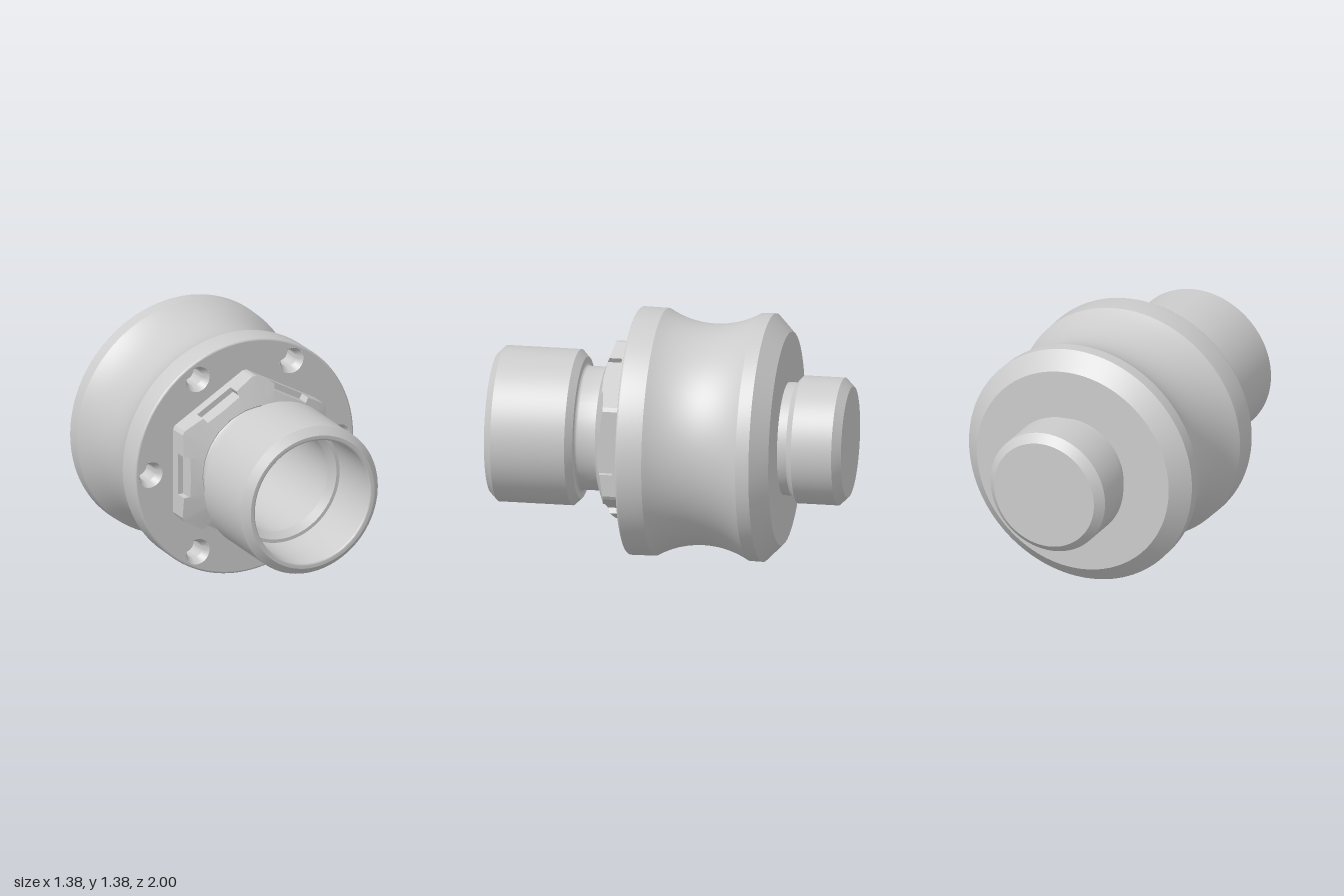
import * as THREE from 'three';
import { toCreasedNormals } from 'three/addons/utils/BufferGeometryUtils.js';

const SEG = 96;
const FACE_Z = 0.21; // front face of the grooved body
const material = new THREE.MeshStandardMaterial({ color: 0xcccccc });

// Named mesh with sharp edges kept
function part(name, geometry) {
  const mesh = new THREE.Mesh(toCreasedNormals(geometry, 0.4), material);
  mesh.name = name;
  return mesh;
}

// Turned part around the z axis, from [radius, z] pairs running back to front
function turned(name, profile, segments = SEG) {
  const points = profile.map(([r, z]) => new THREE.Vector2(r, z));
  return part(name, new THREE.LatheGeometry(points, segments).rotateX(Math.PI / 2));
}

// Points of an arc in the [radius, z] plane
function arc(r, z, radius, from, to, steps) {
  return Array.from({ length: steps + 1 }, (_, i) => {
    const a = from + ((to - from) * i) / steps;
    return [r + radius * Math.cos(a), z + radius * Math.sin(a)];
  });
}

// Hexagonal collar: coned front, with an open pocket cut in each flat
function hexCollar() {
  const flat = 0.453, pocket = 0.42, half = 0.122, corner = 0.516;
  const cone = (r) => 0.38 - (r - 0.36) * 0.38;
  // columns across one flat: [distance along the flat, distance from axis]
  const columns = [
    [-0.2615, flat], [-0.247, flat], [-half, flat], [-half, pocket], [0, pocket],
    [half, pocket], [half, flat], [0.247, flat],
  ];
  const rings = [];
  for (let k = 0; k < 6; k++) {
    const turn = (k * Math.PI) / 3;
    for (const [t, n] of columns) {
      const at = (dist, z, limit) => {
        const r = Math.min(Math.hypot(dist, t), limit);
        const a = turn + Math.atan2(t, dist);
        return [r * Math.cos(a), r * Math.sin(a), z];
      };
      const r = Math.min(Math.hypot(n, t), corner);
      rings.push([
        at(flat, FACE_Z, corner), at(flat, 0.267, corner),
        at(n, 0.267, corner), at(n, cone(r), corner),
        at(Math.abs(t) === half ? pocket : n, 0.38, 0.36),
        at(Math.abs(t) === half ? pocket : n, 0.365, 0.34),
      ]);
    }
  }
  const positions = [];
  rings.forEach((a, i) => {
    const b = rings[(i + 1) % rings.length];
    for (let j = 0; j < a.length - 1; j++) {
      positions.push(...a[j], ...b[j], ...b[j + 1], ...a[j], ...b[j + 1], ...a[j + 1]);
    }
  });
  const geometry = new THREE.BufferGeometry();
  geometry.setAttribute('position', new THREE.Float32BufferAttribute(positions, 3));
  return part('hexCollar', geometry);
}

export function createModel() {
  const group = new THREE.Group();
  group.name = 'grooveRollerFitting';
  const axis = new THREE.Group();
  axis.name = 'turnedAssembly';
  axis.position.y = 0.693;
  group.add(axis);

  // Rear plug with undercut neck
  axis.add(turned('rearPlug', [
    [0, -1], [0.31, -1], [0.356, -0.953], [0.356, -0.725],
    [0.315, -0.69], [0.315, -0.63],
  ].map(([r, z]) => [r, z])));

  // Grooved body: rear chamfer, concave waist, softened front rim
  const sweep = Math.asin(0.265 / 0.5175);
  axis.add(turned('groovedBody', [
    [0.3, -0.64], [0.595, -0.64], [0.692, -0.545],
    ...arc(0.617 + 0.5175, -0.205, 0.5175, Math.PI + sweep, Math.PI - sweep, 24),
    ...arc(0.68, 0.198, 0.012, 0, Math.PI / 2, 5),
  ], 128));

  // Front face with six countersunk holes
  const face = new THREE.Shape().absarc(0, 0, 0.68, 0, Math.PI * 2);
  face.holes.push(new THREE.Path().absarc(0, 0, 0.34, 0, Math.PI * 2, true));
  for (let i = 0; i < 6; i++) {
    const a = (i * Math.PI) / 3;
    const x = 0.595 * Math.cos(a), y = 0.595 * Math.sin(a);
    face.holes.push(new THREE.Path().absarc(x, y, 0.075, 0, Math.PI * 2, true));
    const hole = turned('boltHole', [
      [0.075, FACE_Z], [0.05, 0.17], [0.05, 0.07], [0, 0.07],
    ], 32);
    hole.position.set(x, y, 0);
    axis.add(hole);
  }
  const frontFace = part('frontFace', new THREE.ShapeGeometry(face, 64));
  frontFace.position.z = FACE_Z;
  axis.add(frontFace);

  axis.add(hexCollar());

  // Front socket: filleted neck, chamfered barrel, rounded lip, stepped bore
  axis.add(turned('frontSocket', [
    [0.36, 0.365],
    ...arc(0.365, 0.39, 0.02, Math.PI * 1.4, Math.PI, 5),
    ...arc(0.365, 0.481, 0.02, Math.PI, Math.PI / 2, 5),
    [0.395, 0.501], [0.435, 0.54], [0.435, 0.958], [0.392, 1],
    ...arc(0.374, 0.988, 0.012, Math.PI / 2, Math.PI, 5),
    [0.356, 0.66], [0.336, 0.66], [0.3, 0.625], [0.3, 0.02], [0, 0.02],
  ]));

  return group;
}
